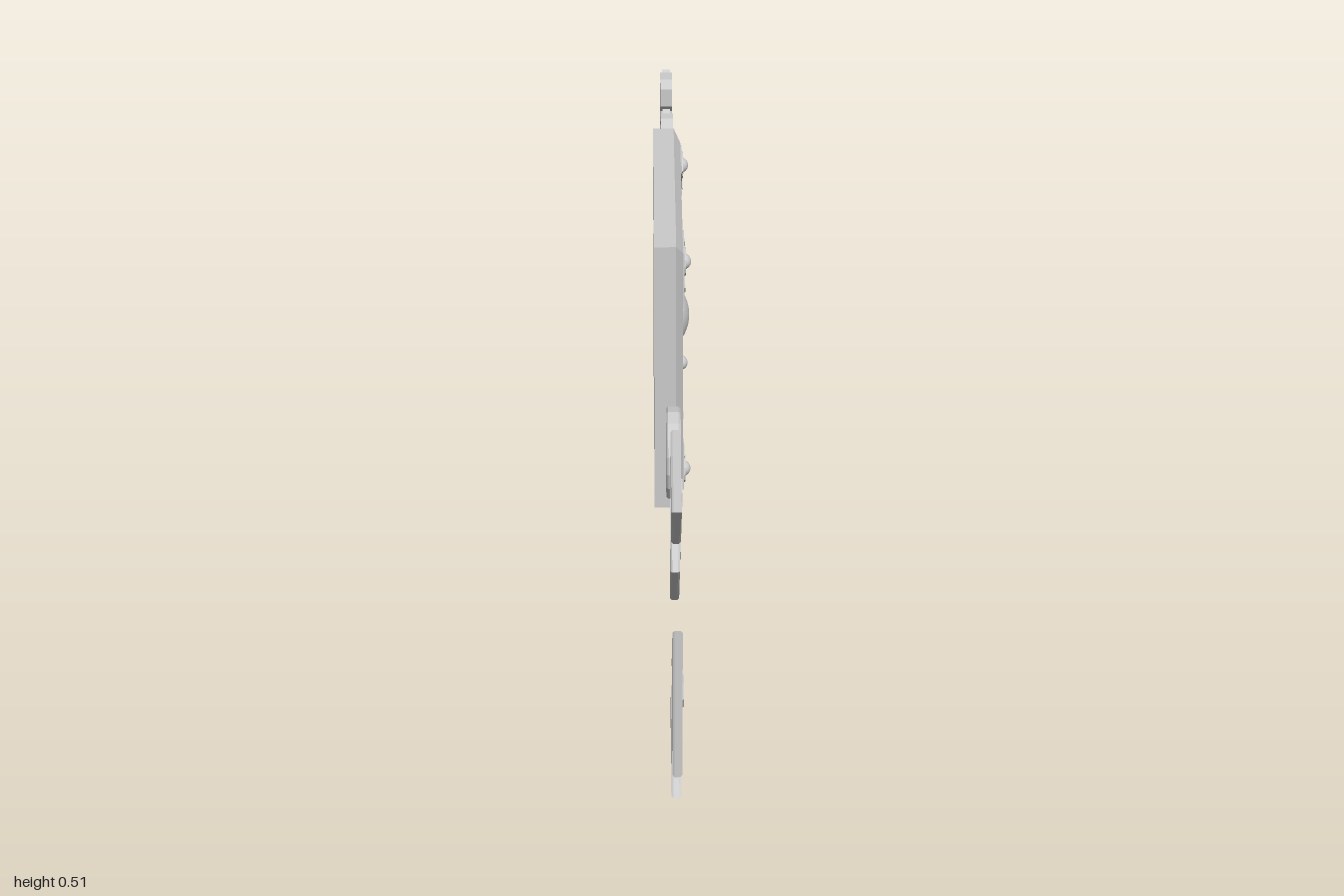
import * as THREE from 'three';

const grey = new THREE.MeshStandardMaterial({ color: 0xcccccc, flatShading: true });
const smooth = new THREE.MeshStandardMaterial({ color: 0xcccccc });

const toShape = pts => new THREE.Shape(pts.map(p => new THREE.Vector2(p[0], p[1])));

// Flat part with its face in XY, between depths z0 and z1
function slab(name, shape, z0, z1, bevel = 0) {
  const g = new THREE.ExtrudeGeometry(shape, {
    depth: z1 - z0 - bevel * 2, curveSegments: 16, bevelEnabled: bevel > 0,
    bevelThickness: bevel, bevelSize: bevel, bevelOffset: -bevel, bevelSegments: 1
  });
  g.translate(0, 0, z0 + bevel);
  const m = new THREE.Mesh(g, grey);
  m.name = name;
  return m;
}

function box(name, w, h, z0, z1, x, y, angle = 0) {
  const m = new THREE.Mesh(new THREE.BoxGeometry(w, h, z1 - z0), grey);
  m.position.set(x, y, (z0 + z1) / 2);
  m.rotation.z = angle;
  m.name = name;
  return m;
}

// Turned part whose axis points out of the face
function turned(name, profile, sides, material, x, y) {
  const g = new THREE.LatheGeometry(profile.map(p => new THREE.Vector2(p[0], p[1])), sides);
  g.rotateX(Math.PI / 2);
  const m = new THREE.Mesh(g, material);
  m.position.set(x, y, 0);
  m.name = name;
  return m;
}

// Spherical cap profile, from rim to top
function capProfile(r, z0, z1, n = 10) {
  const h = z1 - z0, R = (r * r + h * h) / (2 * h), a = Math.asin(r / R);
  return Array.from({ length: n + 1 }, (_, i) => {
    const t = a * (1 - i / n);
    return [R * Math.sin(t), z1 - R + R * Math.cos(t)];
  });
}

const octagon = (a, b) => [[a, b], [b, a], [-b, a], [-a, b], [-a, -b], [-b, -a], [b, -a], [a, -b]];

function buildPanel() {
  const panel = new THREE.Group();
  panel.name = 'panel';
  panel.add(box('panelSlab', 0.51, 0.51, -0.033, 0.005, 0, 0));
  panel.add(box('panelField', 0.45, 0.45, 0.004, 0.011, 0, 0));

  // Frame with sloping outer border and octagonal opening
  const s = 0.255;
  const frameShape = toShape([[-s, -s], [s, -s], [s, s], [-s, s]]);
  frameShape.holes.push(new THREE.Path(toShape(octagon(0.215, 0.137)).getPoints().reverse()));
  const frame = slab('bevelledFrame', frameShape, 0.005, 0.017);
  const p = frame.geometry.attributes.position;
  for (let i = 0; i < p.count; i++) {
    if (p.getZ(i) > 0.01 && Math.abs(p.getX(i)) > 0.25) {
      p.setX(i, Math.sign(p.getX(i)) * 0.235);
      p.setY(i, Math.sign(p.getY(i)) * 0.235);
    }
  }
  frame.geometry.computeVertexNormals();
  panel.add(frame);

  panel.add(turned('centreDome', capProfile(0.053, 0.01, 0.031), 32, smooth, 0, 0));

  for (const sx of [-1, 1]) for (const sy of [-1, 1]) {
    // Corner plate with a domed bolt
    const corner = new THREE.Group();
    corner.name = 'cornerFitting';
    corner.rotation.z = Math.atan2(sy, sx) - Math.PI / 4;
    corner.add(slab('cornerPlate', toShape([[0.232, 0.137], [0.232, 0.232], [0.137, 0.232],
      [0.137, 0.217], [0.217, 0.137]]), 0.016, 0.0195));
    corner.add(turned('boltWasher', [[0.026, 0.018], [0.024, 0.022], [0.017, 0.022], [0.016, 0.02],
      [0, 0.02]], 12, grey, 0.204, 0.204));
    corner.add(turned('boltHead', capProfile(0.014, 0.02, 0.031, 6), 16, smooth, 0.204, 0.204));
    for (const t of [-1, 1])
      corner.add(box('cornerRib', 0.007, 0.022, 0.016, 0.021, 0.19 - t * 0.03, 0.19 + t * 0.03, -Math.PI / 4));
    panel.add(corner);
    // Small studs on the field and the frame
    panel.add(box('fieldStud', 0.012, 0.007, 0.01, 0.014, sx * 0.025, sy * 0.118));
    panel.add(box('fieldStud', 0.007, 0.014, 0.01, 0.014, sx * 0.112, sy * 0.055));
    panel.add(box('frameStud', 0.007, 0.014, 0.01, 0.0185, sx * 0.197, sy * 0.1));
    panel.add(box('frameStud', 0.014, 0.007, 0.01, 0.0185, sx * 0.1, sy * 0.197));
  }
  return panel;
}

// Bar with pointed ends and notched long edges
function notchedBar(length, width, notch) {
  const L = length / 2, w = width / 2, c = w * 0.7, e = L - c, edge = [];
  for (const x of [-0.55, 0, 0.55]) {
    edge.push([x * e - 0.011, w], [x * e - 0.007, w - notch], [x * e + 0.007, w - notch], [x * e + 0.011, w]);
  }
  const top = [[-L, w - c], [-e, w], ...edge, [e, w], [L, w - c]];
  return toShape([...top, ...top.map(([x, y]) => [-x, -y])].reverse());
}

function buildBar(name, x, y, angle, length, width, pegs) {
  const g = new THREE.Group();
  g.name = name;
  g.position.set(x, y, 0);
  g.rotation.z = angle;
  g.add(slab('notchedBar', notchedBar(length, width, 0.006), -0.018, 0.005));
  for (const t of [-1, 1])
    g.add(box('peg', 0.016, width + pegs, -0.014, 0.001, t * length * 0.25, 0));
  return g;
}

// Quarter of the octagonal ring, centred on its diagonal, with a stepped inner edge
function ringQuarter(angle) {
  const g = new THREE.Group();
  g.name = 'ringQuarter';
  g.rotation.z = angle;
  const half = [[0.137, 0.004], [0.137, 0.05], [0.05, 0.137], [0.004, 0.137]];
  const inner = [[0.004, 0.105], [0.016, 0.105], [0.02, 0.112], [0.03, 0.112], [0.038, 0.104],
    [0.05, 0.094], [0.062, 0.094], [0.068, 0.078]];
  const mirrored = inner.slice().reverse().map(([x, y]) => [y, x]);
  g.add(slab('ringSegment', toShape([...half, ...inner, ...mirrored]), -0.018, 0.005));
  for (const t of [-1, 1])
    g.add(box('ringPeg', 0.045, 0.015, -0.014, 0.001, 0.1 + t * 0.03, 0.1 - t * 0.03, Math.PI / 4));
  return g;
}

// Triangular tile pointing inwards, with a raised hexagonal boss
function buildTile(angle) {
  const g = new THREE.Group();
  g.name = 'triangleTile';
  g.rotation.z = angle;
  g.add(slab('tile', toShape([[-0.127, 0.252], [0, 0.125], [0.127, 0.252]]), -0.01, 0.005, 0.003));
  g.add(turned('tileBoss', [[0.026, 0.003], [0.024, 0.007], [0.018, 0.007], [0.016, 0.006], [0, 0.006]],
    6, grey, 0, 0.213));
  return g;
}

export function createModel() {
  const model = new THREE.Group();
  model.name = 'wallPanelKit';
  // Everything is laid out in XY, then turned to face +x
  model.rotation.y = Math.PI / 2;
  model.position.y = 0.255;

  const tiles = new THREE.Group();
  tiles.name = 'triangleTiles';
  tiles.position.x = -0.752;
  for (let i = 0; i < 4; i++) tiles.add(buildTile(i * Math.PI / 2));
  tiles.scale.set(0.248 / 0.252, 1, 1);

  // Shallow dished disc
  const disc = turned('disc', [[0, -0.014], [0.074, -0.014], [0.077, -0.011], [0.077, 0.006], [0.073, 0.01],
    [0.056, 0.01], [0.053, 0.008], [0, 0.008]], 16, grey, -0.244, 0);

  const panel = buildPanel();
  panel.position.x = 0.27;

  const ring = new THREE.Group();
  ring.name = 'ring';
  ring.position.x = 0.777;
  for (let i = 0; i < 4; i++) ring.add(ringQuarter(i * Math.PI / 2));

  const d = Math.PI / 4;
  const outer = new THREE.Group();
  outer.name = 'outerBars';
  outer.add(
    buildBar('upperBarA', 0.627, 0.15, d, 0.175, 0.046, 0.028),
    buildBar('upperBarB', 0.923, 0.14, -d, 0.18, 0.072, 0.022),
    buildBar('lowerBarA', 0.627, -0.147, -d, 0.175, 0.046, 0.028),
    buildBar('lowerBarB', 0.928, -0.147, d, 0.18, 0.046, 0.028)
  );

  model.add(tiles, disc, panel, ring, outer);
  const root = new THREE.Group();
  root.name = 'wallPanelSet';
  root.add(model);
  return root;
}
